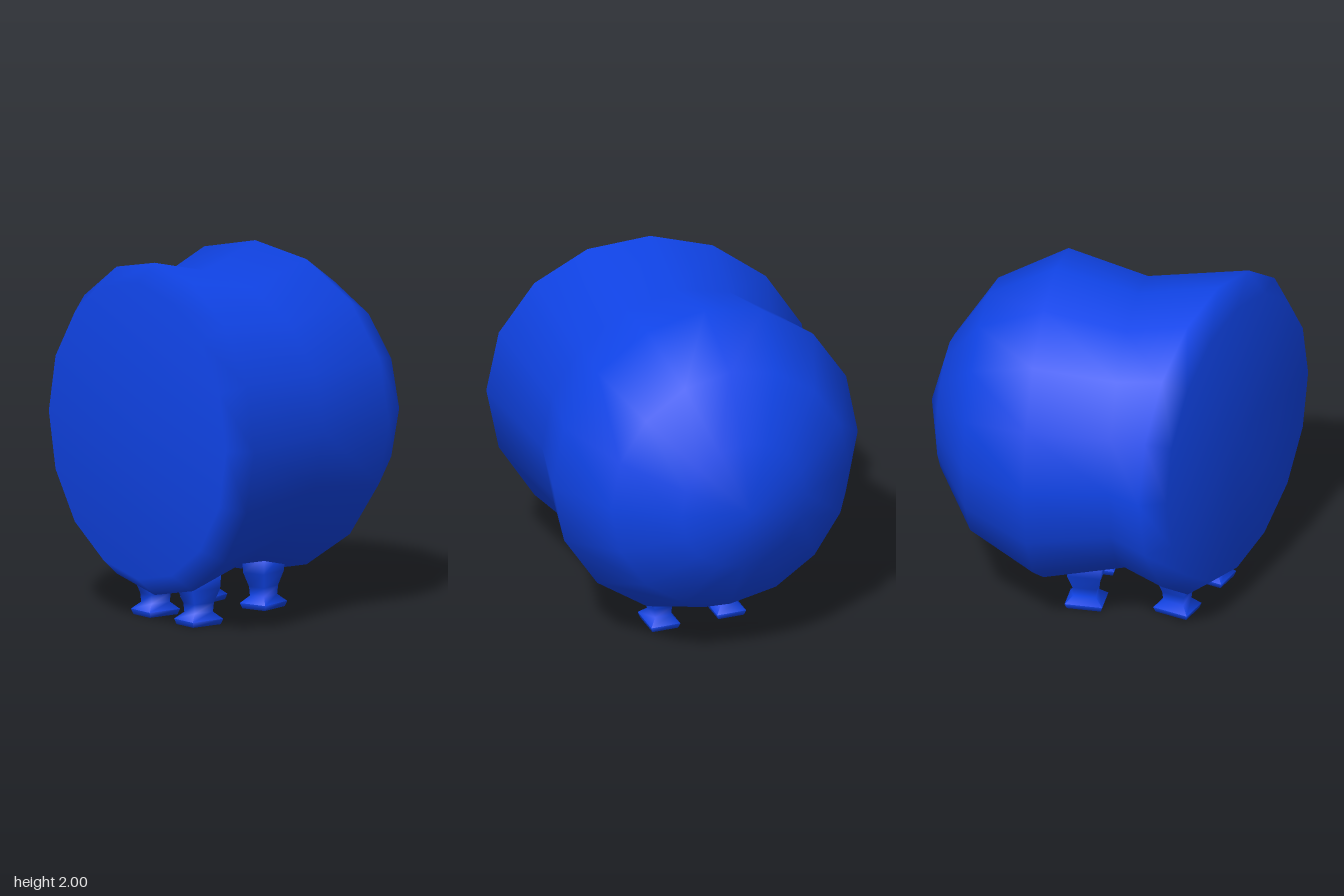
import * as THREE from 'three';
import { toCreasedNormals } from 'three/addons/utils/BufferGeometryUtils.js';

const blue = new THREE.MeshStandardMaterial({ color: 0x1044e8 });

// Skin a list of equal-length rings (counterclockwise about the direction of travel) and close both ends
function loft(rings, startPoint, endPoint) {
  const n = rings[0].length;
  const points = [...rings.flat(), startPoint, endPoint];
  const start = points.length - 2, end = points.length - 1;
  const last = (rings.length - 1) * n;
  const index = [];
  for (let j = 0; j < n; j++) {
    const k = (j + 1) % n;
    for (let i = 0; i < rings.length - 1; i++) {
      const a = i * n + j, b = i * n + k;
      index.push(a, b, b + n, a, b + n, a + n);
    }
    index.push(start, k, j, end, last + j, last + k);
  }
  const geometry = new THREE.BufferGeometry().setFromPoints(points);
  geometry.setIndex(index);
  geometry.computeVertexNormals();
  return geometry;
}

// Upright 16-sided body ring, turned about y by tilt
function bodyRing([x, z, ry, rz, tilt]) {
  return Array.from({ length: 16 }, (_, j) => {
    const a = (j / 16) * Math.PI * 2;
    const side = Math.sin(a) * rz;
    return new THREE.Vector3(x + side * Math.sin(tilt), 1.075 + Math.cos(a) * ry, z + side * Math.cos(tilt));
  });
}

// Flat rectangular leg ring at height y
function legRing([y, w, d]) {
  return [[1, 1], [1, -1], [-1, -1], [-1, 1]].map(([sx, sz]) => new THREE.Vector3(sx * w / 2, y, sz * d / 2));
}

export function createModel() {
  const model = new THREE.Group();
  model.name = 'bentBarrelCreature';
  const bend = 0.305;

  // Body: flat bevelled end, pinched waist, then a turned rounded end
  const rings = [
    [-0.84, 0.1, 0.825, 0.8, 0],
    [-0.72, 0.1, 0.925, 0.9, 0],
    [-0.275, -0.015, 0.815, 0.79, bend],
    [0.16, -0.145, 0.92, 0.897, bend],
    [0.52, -0.26, 0.715, 0.7, bend],
    [0.73, -0.32, 0.375, 0.367, bend],
  ].map(bodyRing);
  const body = new THREE.Mesh(
    loft(rings, new THREE.Vector3(-0.84, 1.075, 0.1), new THREE.Vector3(0.825, 1.075, -0.35)), blue);
  body.name = 'body';
  model.add(body);

  // Legs: foot plate, narrow ankle, flared top sunk into the body
  const legRings = [
    [0, 0.19, 0.15],
    [0.03, 0.21, 0.17],
    [0.07, 0.125, 0.095],
    [0.12, 0.135, 0.1],
    [0.2, 0.19, 0.14],
    [0.3, 0.2, 0.15],
  ].map(legRing);
  const legGeometry = toCreasedNormals(
    loft(legRings, new THREE.Vector3(0, 0, 0), new THREE.Vector3(0, 0.3, 0)), 1.7);
  const legs = [
    ['frontRightLeg', -0.57, 0.3, 0],
    ['backRightLeg', -0.57, -0.09, 0],
    ['frontLeftLeg', 0.03, 0.1, bend],
    ['backLeftLeg', -0.1, -0.27, bend],
  ];
  for (const [name, x, z, turn] of legs) {
    const leg = new THREE.Mesh(legGeometry, blue);
    leg.name = name;
    leg.position.set(x, 0, z);
    leg.rotation.y = turn;
    model.add(leg);
  }
  return model;
}
